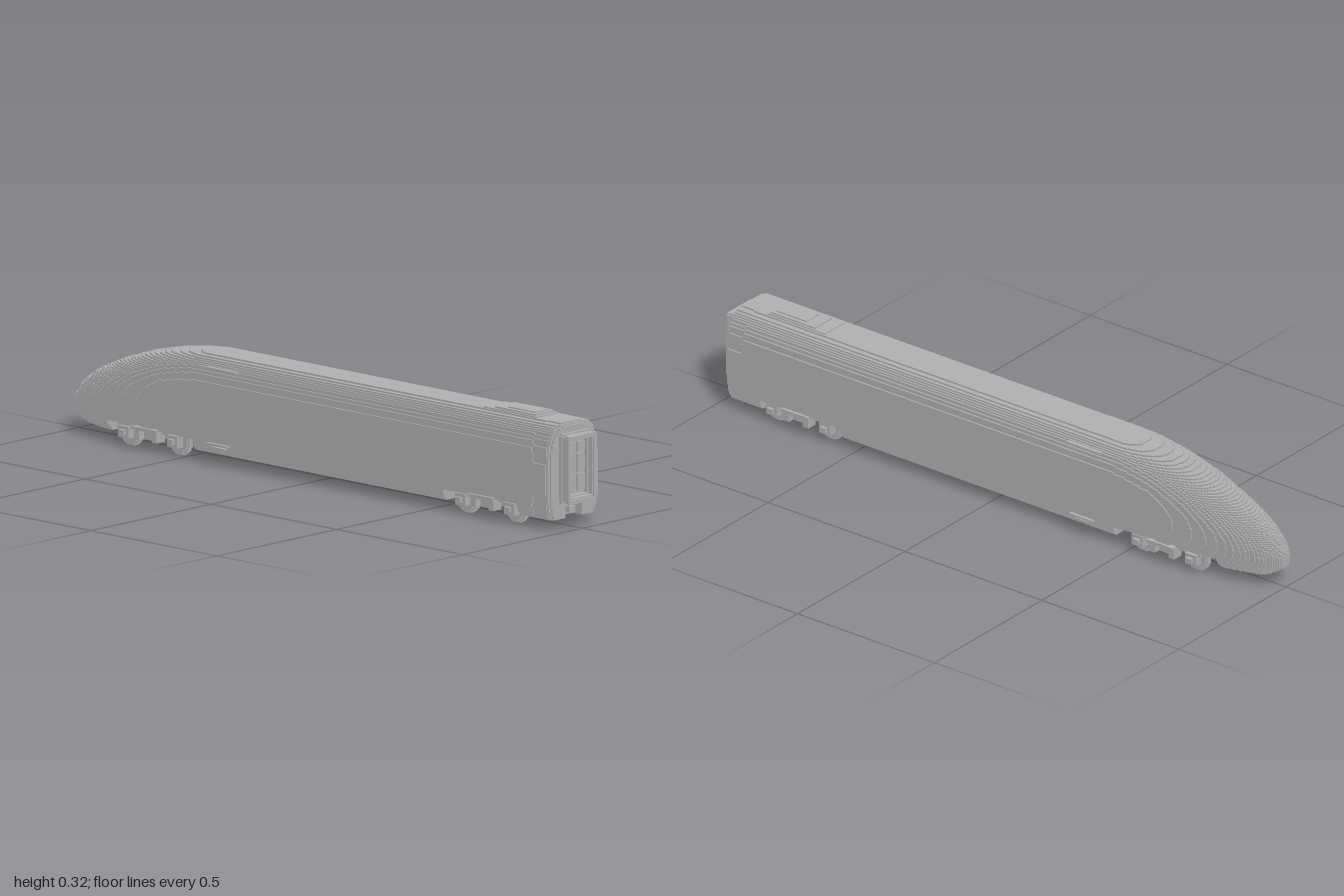
import * as THREE from 'three';
import { mergeGeometries } from 'three/addons/utils/BufferGeometryUtils.js';

const S = 0.005; // size of one block
const grey = new THREE.MeshStandardMaterial({ color: 0xb0b0b0 });
grey.name = 'body grey';

// Box from its extents
function box(x0, x1, y0, y1, z0, z1) {
  return new THREE.BoxGeometry(x1 - x0, y1 - y0, z1 - z0)
    .translate((x0 + x1) / 2, (y0 + y1) / 2, (z0 + z1) / 2);
}

// The same box on both sides of the train
function pair(x0, x1, y0, y1, z0, z1) {
  return [box(x0, x1, y0, y1, z0, z1), box(x0, x1, y0, y1, -z1, -z0)];
}

function part(name, boxes) {
  const mesh = new THREE.Mesh(mergeGeometries(boxes), grey);
  mesh.name = name;
  return mesh;
}

// Linear interpolation through [x, value] points
function along(points, x) {
  if (x <= points[0][0]) return points[0][1];
  for (let i = 1; i < points.length; i++) {
    const [a, va] = points[i - 1], [b, vb] = points[i];
    if (x <= b) return va + (vb - va) * (x - a) / (b - a);
  }
  return points[points.length - 1][1];
}

// Body outlines along the length
const TOP = [[-1, 0.105], [-0.97, 0.142], [-0.94, 0.168], [-0.9, 0.193], [-0.8, 0.238], [-0.7, 0.271],
  [-0.6, 0.294], [-0.5, 0.307], [-0.45, 0.31], [0.955, 0.31], [0.965, 0.297]];
const BOTTOM = [[-1, 0.065], [-0.94, 0.027], [-0.8, 0.012], [-0.6, 0.01]];
const MIDDLE = [[-1, 0.085], [-0.9, 0.1], [-0.7, 0.13], [-0.5, 0.14]];
const WIDTH = [[-1, 0.02], [-0.98, 0.04], [-0.95, 0.057], [-0.9, 0.076], [-0.85, 0.088], [-0.8, 0.096],
  [-0.7, 0.106], [-0.58, 0.112], [0.9, 0.112], [0.905, 0.108], [0.955, 0.108], [0.965, 0.093]];
const ROUND = [[-1, 2], [-0.8, 2.3], [-0.45, 3.6]];

function halfWidth(x, y) {
  const mid = along(MIDDLE, x), p = along(ROUND, x);
  const end = y > mid ? along(TOP, x) : along(BOTTOM, x);
  const u = (y - mid) / (end - mid);
  if (u >= 1) return 0;
  return Math.round(along(WIDTH, x) * Math.pow(1 - Math.pow(u, p), 1 / p) / S) * S;
}

const inWell = x => (x > -0.81 && x < -0.45) || (x > 0.545 && x < 0.84);

// Half width of the hollow at a point: bogie wells and coupler pocket
function hollow(x, y, h) {
  if (inWell(x) && y < 0.065) return h;
  if (inWell(x) && y < 0.09) return Math.max(0, h - 0.01);
  if (x > 0.92 && y < 0.07) return 0.035;
  return 0;
}

// Stepped shell: each layer is cut into runs of equal width
function bodyBoxes() {
  const out = [];
  for (let j = 6; j < 62; j++) {
    const y = (j + 0.5) * S;
    let start = -1, h = 0, inner = 0;
    for (let i = 0; i <= 393; i++) {
      const x = -1 + (i + 0.5) * S;
      const nh = i < 393 ? halfWidth(x, y) : 0;
      const ni = hollow(x, y, nh);
      if (Math.abs(nh - h) < 1e-6 && Math.abs(ni - inner) < 1e-6) continue;
      const end = -1 + i * S;
      if (h - inner > 1e-6) {
        if (inner > 0) out.push(...pair(start, end, j * S, (j + 1) * S, inner, h));
        else out.push(box(start, end, j * S, (j + 1) * S, -h, h));
      }
      start = end; h = nh; inner = ni;
    }
  }
  return out;
}

// Stepped disc standing on the rail, on both sides
function discPair(cx, cy, r, z0, z1) {
  const out = [], n = Math.round(r / S);
  for (let j = -n; j < n; j++) {
    const y = (j + 0.5) * S;
    const w = Math.max(S, Math.round(Math.sqrt(r * r - y * y) / S) * S);
    out.push(...pair(cx - w, cx + w, cy + j * S, cy + (j + 1) * S, z0, z1));
  }
  return out;
}

function bogie(x, name) {
  const group = new THREE.Group();
  group.name = name;
  const wheels = [], axles = [], frame = [], dampers = [];
  for (const s of [-1, 1]) {
    const wx = x + s * 0.097;
    wheels.push(...discPair(wx, 0.04, 0.04, 0.055, 0.07), ...discPair(wx, 0.04, 0.035, 0.07, 0.075));
    axles.push(box(wx - 0.01, wx + 0.01, 0.03, 0.05, -0.055, 0.055));
    // Axle boxes and brake gear
    frame.push(...pair(wx - 0.02, wx + 0.02, 0.025, 0.06, 0.075, 0.1));
    frame.push(...pair(wx - 0.01, wx + 0.01, 0.035, 0.05, 0.1, 0.11));
    frame.push(box(wx - s * 0.06 - 0.008, wx - s * 0.06 + 0.008, 0.035, 0.055, -0.06, 0.06));
    dampers.push(...pair(x + s * 0.035 - 0.01, x + s * 0.035 + 0.01, 0.03, 0.07, 0.09, 0.11));
  }
  frame.push(...pair(x - 0.125, x + 0.125, 0.055, 0.07, 0.075, 0.09));
  frame.push(...pair(x - 0.045, x + 0.045, 0.03, 0.055, 0.075, 0.09));
  frame.push(box(x - 0.03, x + 0.03, 0.05, 0.09, -0.08, 0.08));
  dampers.push(...pair(x - 0.05, x + 0.05, 0.06, 0.07, 0.11, 0.118));
  group.add(part('wheels', wheels), part('axles', axles), part('bogieFrame', frame), part('dampers', dampers));
  return group;
}

// Rectangular ring facing the rear, with clipped upper and lower corners
function ring(x0, x1, y0, y1, z, t) {
  return [
    box(x0, x1, y0, y0 + t, -z + S, z - S), box(x0, x1, y1 - t, y1, -z + S, z - S),
    ...pair(x0, x1, y0 + S, y1 - S, z - t, z),
  ];
}

export function createModel() {
  const train = new THREE.Group();
  train.name = 'train';
  train.add(part('body', bodyBoxes()));
  train.add(bogie(-0.632, 'frontBogie'), bogie(0.705, 'rearBogie'));

  // Raised roof housing
  train.add(part('roofHousing', [
    box(0.65, 0.86, 0.305, 0.314, -0.045, 0.045),
    box(0.69, 0.85, 0.31, 0.319, -0.04, 0.04),
    box(0.73, 0.84, 0.31, 0.323, -0.028, 0.028),
  ]));

  // Cab door steps and rain strips
  train.add(part('doorSteps', [
    ...pair(-0.385, -0.3, 0.06, 0.066, 0.095, 0.119),
    ...pair(-0.365, -0.315, 0.05, 0.055, 0.095, 0.114),
  ]));
  train.add(part('rainStrips', pair(-0.4, -0.28, 0.277, 0.283, 0.085, 0.103)));

  // Gangway at the rear
  train.add(part('gangway', [
    ...ring(0.96, 0.975, 0.075, 0.28, 0.062, 0.015),
    ...ring(0.96, 0.995, 0.08, 0.275, 0.057, 0.012),
    ...ring(0.99, 1, 0.075, 0.275, 0.06, 0.012),
  ]));
  const door = [
    ...ring(0.96, 0.98, 0.09, 0.265, 0.046, 0.006),
    box(0.96, 0.968, 0.1, 0.255, -0.04, 0.04),
  ];
  for (const [y0, y1] of [[0.105, 0.155], [0.16, 0.215], [0.22, 0.25]])
    door.push(...pair(0.96, 0.974, y0, y1, 0.005, 0.036));
  door.push(box(0.96, 0.98, 0.165, 0.185, 0.03, 0.036));
  train.add(part('endDoor', door));

  // Coupler inside the rear pocket
  train.add(part('coupler', [
    box(0.92, 0.93, 0.03, 0.07, -0.035, 0.035),
    box(0.93, 0.96, 0.04, 0.06, -0.012, 0.012),
  ]));
  return train;
}
